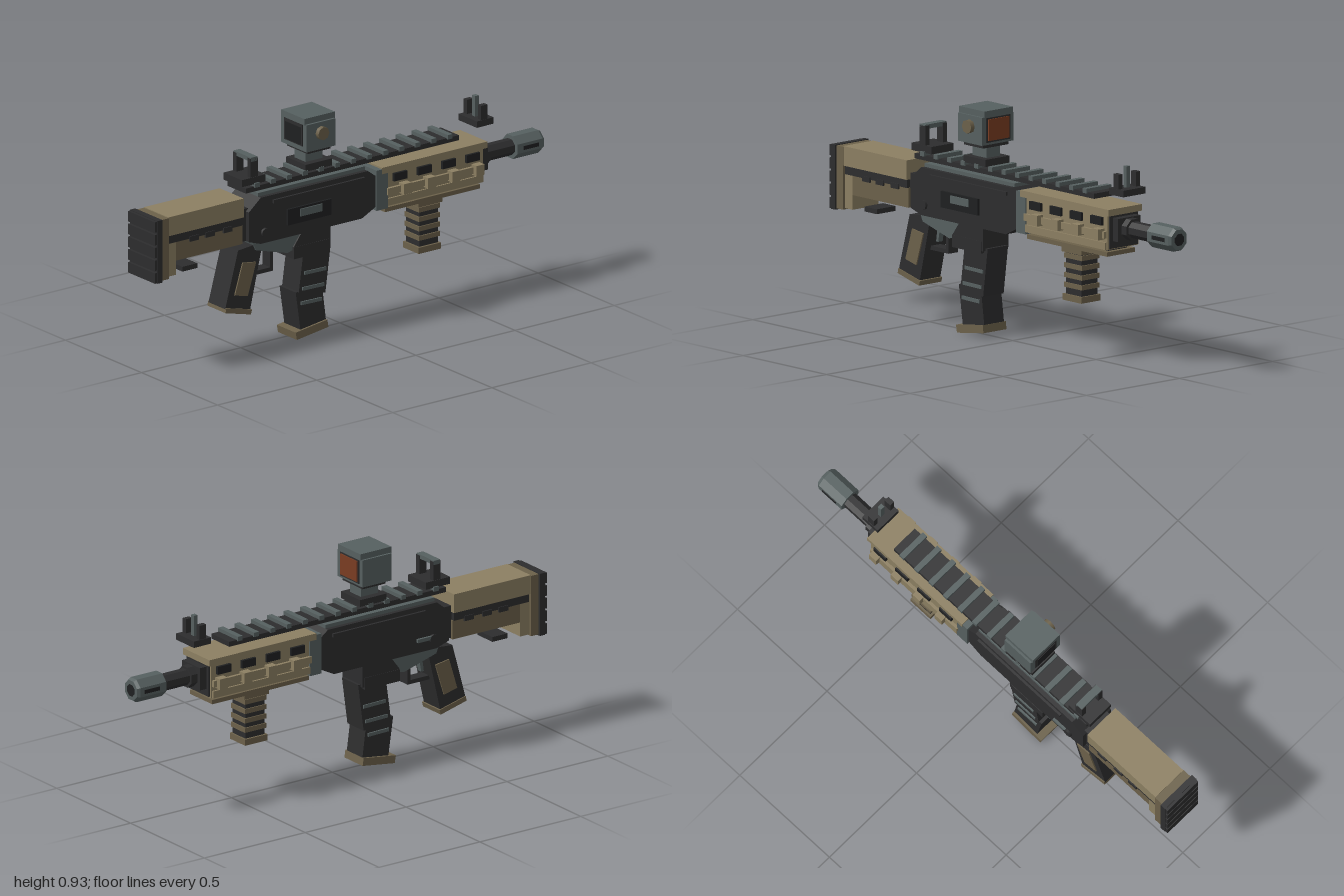
import * as THREE from 'three';

const mat = (name, color) => {
  const m = new THREE.MeshStandardMaterial({ color });
  m.name = name;
  return m;
};

export function createModel() {
  const root = new THREE.Group();
  root.name = 'toyRifleProp';
  const dark = mat('charcoal', 0x2d2d2e);
  const black = mat('nearBlack', 0x1f2021);
  const slate = mat('slate', 0x566060);
  const tan = mat('tan', 0x8c7f62);
  const brown = mat('darkTan', 0x6c614a);
  const amber = mat('amberLens', 0x7a3c22);

  const add = (name, geo, m) => {
    const mesh = new THREE.Mesh(geo, m);
    mesh.name = name;
    root.add(mesh);
    return mesh;
  };
  // Box from ranges on each axis
  const box = (name, m, x0, x1, y0, y1, z0, z1) => {
    const b = add(name, new THREE.BoxGeometry(x1 - x0, y1 - y0, z1 - z0), m);
    b.position.set((x0 + x1) / 2, (y0 + y1) / 2, (z0 + z1) / 2);
    return b;
  };
  // Box centred on x
  const slab = (name, m, hw, y0, y1, z0, z1) => box(name, m, -hw, hw, y0, y1, z0, z1);
  // Side outline of (z, y) points, extruded across x
  const plate = (name, m, hw, pts) => {
    const geo = new THREE.ExtrudeGeometry(
      new THREE.Shape(pts.map(([z, y]) => new THREE.Vector2(z, y))),
      { depth: hw * 2, bevelEnabled: false });
    geo.translate(0, 0, -hw).rotateY(-Math.PI / 2);
    return add(name, geo, m);
  };
  // Eight-sided cylinder lying along z
  const rod = (name, m, r0, r1, z0, z1, y = 0.568) => {
    const geo = new THREE.CylinderGeometry(r0, r1, z1 - z0, 8).toNonIndexed();
    geo.rotateY(Math.PI / 8).rotateX(Math.PI / 2);
    geo.computeVertexNormals();
    const c = add(name, geo, m);
    c.position.set(0, y, (z0 + z1) / 2);
    return c;
  };

  // Stock
  slab('buttPad', dark, 0.09, 0.4, 0.665, 0.963, 0.988);
  for (let i = 0; i < 5; i++) {
    const y = 0.4 + i * 0.054;
    slab('buttPadRib', dark, 0.088, y + 0.002, y + 0.046, 0.988, 1);
  }
  slab('stockEndPlate', brown, 0.082, 0.405, 0.662, 0.925, 0.963);
  slab('stockHeel', tan, 0.07, 0.41, 0.6, 0.88, 0.925);
  slab('stockTop', tan, 0.08, 0.585, 0.665, 0.545, 0.925);
  slab('stockChannel', dark, 0.074, 0.55, 0.585, 0.55, 0.92);
  slab('stockLower', brown, 0.07, 0.47, 0.55, 0.545, 0.88);
  for (const z of [0.6, 0.69, 0.77]) slab('stockSlot', dark, 0.078, 0.538, 0.56, z, z + 0.045);
  slab('slingLoop', dark, 0.05, 0.408, 0.428, 0.757, 0.832);
  slab('stockJoint', dark, 0.06, 0.475, 0.612, 0.51, 0.548);

  // Receiver
  plate('receiver', dark, 0.08, [[0.52, 0.475], [0.52, 0.6], [0.46, 0.65], [-0.08, 0.65],
    [-0.12, 0.62], [-0.12, 0.49], [-0.05, 0.455], [0.46, 0.455]]);
  slab('receiverTop', slate, 0.062, 0.65, 0.665, -0.08, 0.46);
  box('ejectionPort', black, 0.079, 0.09, 0.508, 0.575, 0.11, 0.33);
  box('bolt', slate, 0.088, 0.095, 0.535, 0.566, 0.16, 0.27);
  box('selector', slate, -0.09, -0.079, 0.5, 0.515, 0.36, 0.43);
  for (const s of [-1, 1]) {
    const pin = add('receiverPin', new THREE.CylinderGeometry(0.02, 0.02, 0.015, 8), dark);
    pin.rotation.z = Math.PI / 2;
    pin.position.set(s * 0.083, 0.5, 0.44);
    box('receiverRidge', dark, s * 0.084 - 0.006, s * 0.084 + 0.006, 0.615, 0.63, -0.06, 0.4);
  }
  plate('lowerReceiver', slate, 0.062, [[0.49, 0.47], [0.47, 0.425], [0.31, 0.38],
    [0.24, 0.4], [0.18, 0.47]]);

  // Trigger and guard
  slab('guardBottom', dark, 0.025, 0.305, 0.322, 0.355, 0.47);
  slab('guardFront', dark, 0.025, 0.305, 0.4, 0.355, 0.37);
  plate('trigger', slate, 0.012, [[0.435, 0.41], [0.445, 0.34], [0.432, 0.34], [0.42, 0.41]]);

  // Rear grip
  plate('grip', dark, 0.055, [[0.555, 0.44], [0.62, 0.205], [0.495, 0.175], [0.44, 0.41], [0.44, 0.45]]);
  plate('gripPanels', brown, 0.061, [[0.535, 0.385], [0.575, 0.255], [0.51, 0.24], [0.468, 0.375]]);
  plate('gripCap', brown, 0.06, [[0.618, 0.21], [0.622, 0.19], [0.494, 0.158], [0.488, 0.178]]);

  // Magazine
  slab('magazineWell', dark, 0.07, 0.35, 0.4, 0.11, 0.285);
  plate('magazineWellTop', dark, 0.068, [[0.285, 0.4], [0.24, 0.46], [0.1, 0.46], [0.1, 0.36], [0.2, 0.36]]);
  plate('magazineUpper', dark, 0.055, [[0.225, 0.37], [0.25, 0.19], [0.115, 0.17], [0.088, 0.37]]);
  plate('magazineLower', dark, 0.053, [[0.263, 0.2], [0.238, 0.03], [0.11, 0.05], [0.13, 0.2]]);
  plate('magazineBase', brown, 0.062, [[0.27, 0.034], [0.264, 0.002], [0.105, 0.024], [0.11, 0.056]]);
  [[0.275, 0.232, 0.102], [0.21, 0.242, 0.112], [0.15, 0.248, 0.125]].forEach(([y, b, f]) =>
    plate('magazineRib', slate, 0.06, [[b - 0.01, y + 0.007], [b - 0.01, y - 0.007],
      [f + 0.01, y - 0.009], [f + 0.01, y + 0.005]]));

  // Handguard
  slab('handguardCollar', slate, 0.088, 0.475, 0.645, -0.175, -0.118);
  slab('handguard', tan, 0.082, 0.485, 0.63, -0.66, -0.15);
  slab('handguardTop', tan, 0.09, 0.625, 0.652, -0.675, -0.145);
  slab('handguardSill', tan, 0.09, 0.485, 0.515, -0.655, -0.175);
  slab('handguardFront', dark, 0.075, 0.49, 0.625, -0.668, -0.655);
  slab('handguardBottom', brown, 0.075, 0.455, 0.473, -0.65, -0.17);
  slab('bottomSpacer', dark, 0.05, 0.47, 0.49, -0.63, -0.19);
  slab('sideRail', tan, 0.095, 0.532, 0.56, -0.655, -0.17);
  for (let i = 0; i < 4; i++) {
    const z = -0.255 - i * 0.122;
    slab('sideRailLug', tan, 0.115, 0.526, 0.57, z - 0.02, z + 0.02);
    slab('ventSlot', black, 0.094, 0.583, 0.616, z - 0.015, z + 0.052);
  }

  // Foregrip
  slab('foregripMount', brown, 0.055, 0.43, 0.456, -0.475, -0.355);
  slab('foregripCore', dark, 0.043, 0.25, 0.44, -0.462, -0.368);
  for (let i = 0; i < 4; i++) {
    const y = 0.285 + i * 0.04;
    slab('foregripRing', brown, 0.048, y, y + 0.02, -0.468, -0.362);
  }
  slab('foregripCap', brown, 0.052, 0.232, 0.258, -0.47, -0.358);

  // Barrel and muzzle
  slab('gasBlock', dark, 0.06, 0.52, 0.615, -0.7, -0.66);
  rod('barrelNut', dark, 0.046, 0.046, -0.73, -0.69);
  rod('barrel', dark, 0.035, 0.035, -0.87, -0.66);
  rod('muzzle', slate, 0.052, 0.052, -0.985, -0.858);
  rod('muzzleTip', slate, 0.052, 0.044, -0.998, -0.985);
  rod('bore', black, 0.026, 0.026, -1, -0.99);
  slab('muzzleSlots', black, 0.0505, 0.56, 0.576, -0.965, -0.89);

  // Top rail
  slab('topRail', dark, 0.06, 0.675, 0.696, -0.555, 0.52);
  for (let i = 0; i < 13; i++) {
    const z = -0.505 + i * 0.081;
    slab('railTooth', slate, 0.067, 0.692, 0.711, z - 0.012, z + 0.012);
  }

  // Iron sights
  slab('rearSightBase', dark, 0.06, 0.706, 0.736, 0.42, 0.54);
  slab('rearSightBar', slate, 0.058, 0.802, 0.82, 0.46, 0.492);
  slab('frontSightBase', dark, 0.06, 0.708, 0.735, -0.73, -0.645);
  slab('frontSightPost', slate, 0.01, 0.735, 0.822, -0.693, -0.675);
  for (const s of [-1, 1]) {
    const x = s * 0.047;
    box('rearSightPost', dark, x - 0.011, x + 0.011, 0.735, 0.815, 0.458, 0.494);
    box('frontSightWing', dark, x - 0.011, x + 0.011, 0.735, 0.795, -0.7, -0.668);
  }

  // Optic
  slab('opticClamp', dark, 0.065, 0.706, 0.735, 0.09, 0.222);
  slab('opticNeck', slate, 0.036, 0.735, 0.785, 0.115, 0.2);
  slab('opticPlate', dark, 0.068, 0.78, 0.797, 0.1, 0.215);
  slab('opticBody', slate, 0.085, 0.795, 0.91, 0.088, 0.232);
  slab('opticHood', slate, 0.076, 0.908, 0.935, 0.083, 0.237);
  slab('eyepieceFrame', dark, 0.06, 0.815, 0.908, 0.23, 0.236);
  slab('eyepieceLens', black, 0.05, 0.82, 0.893, 0.235, 0.239);
  slab('frontLensFrame', dark, 0.064, 0.805, 0.906, 0.084, 0.09);
  slab('frontLens', amber, 0.056, 0.812, 0.9, 0.08, 0.086);
  const knob = add('opticKnob', new THREE.CylinderGeometry(0.028, 0.028, 0.022, 8), brown);
  knob.rotation.z = Math.PI / 2;
  knob.position.set(0.093, 0.865, 0.16);

  return root;
}
